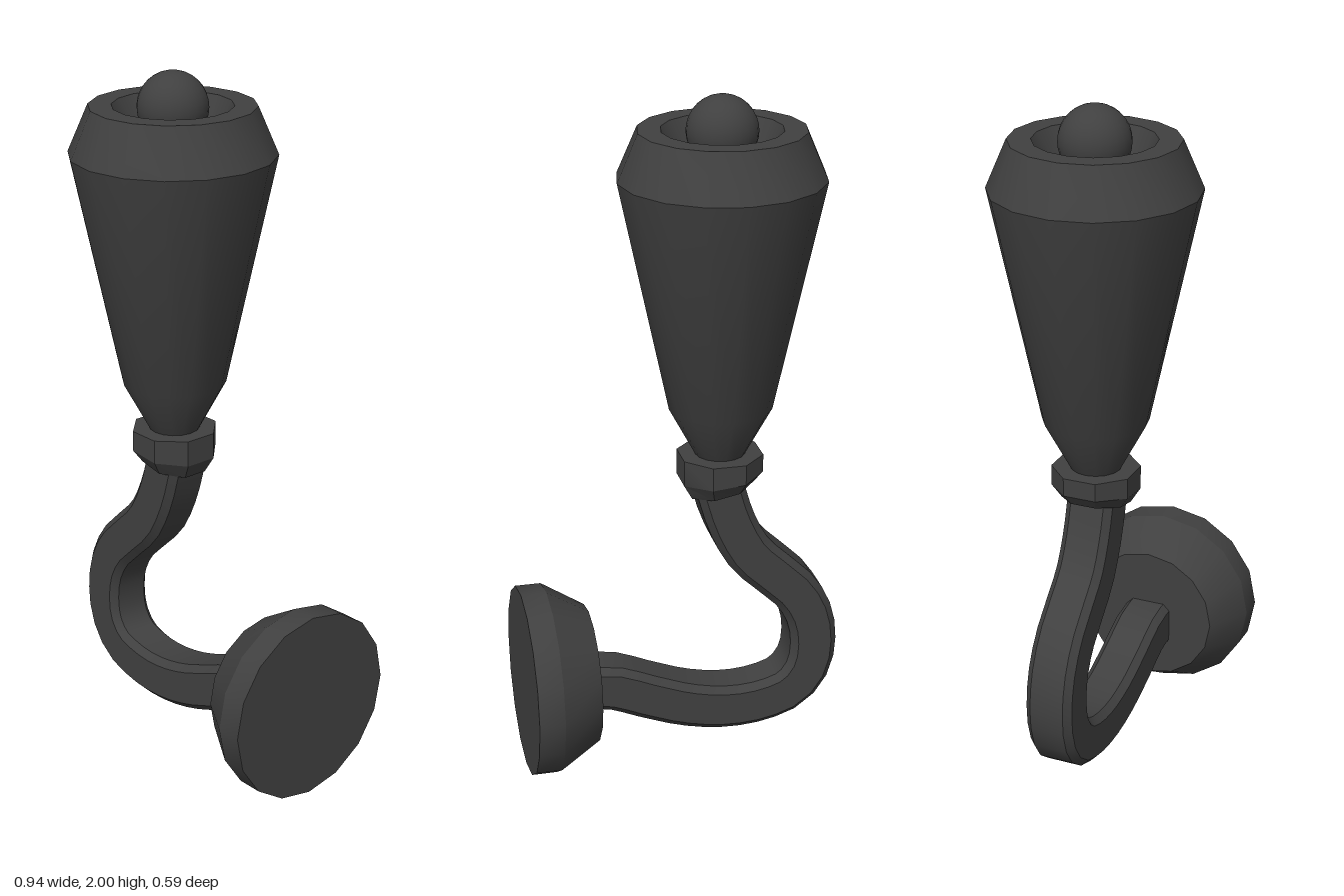
import * as THREE from 'three';
import { toCreasedNormals } from 'three/addons/utils/BufferGeometryUtils.js';

const AXIS_X = -0.12; // vertical axis of the shade

export function createModel() {
  const group = new THREE.Group();
  const dark = new THREE.MeshStandardMaterial({ color: 0x404040 });

  const add = (name, geometry, x = 0, y = 0) => {
    const mesh = new THREE.Mesh(geometry, dark);
    mesh.name = name;
    mesh.position.set(x, y, 0);
    group.add(mesh);
    return mesh;
  };
  const lathe = (profile, sides, phase = 0) =>
    new THREE.LatheGeometry(profile.map(([r, y]) => new THREE.Vector2(r, y)), sides, phase);
  const crease = (g) => toCreasedNormals(g, 0.5);

  // Tapered shade with a bevelled rim and a recessed cup
  add('shade', crease(lathe([
    [0, 0.95], [0.07, 0.95], [0.15, 1.1], [0.293, 1.77],
    [0.235, 1.905], [0.17, 1.905], [0.1, 1.77], [0, 1.77],
  ], 16)), AXIS_X);

  // Bulb sitting in the cup
  add('bulb', new THREE.SphereGeometry(0.1, 24, 16), AXIS_X, 1.9);

  // Octagonal collar whose underside leans to meet the arm
  const collar = lathe([[0, 0.84], [0.098, 0.85], [0.126, 0.89], [0.126, 0.955], [0, 0.955]], 8, Math.PI / 8);
  const p = collar.attributes.position;
  for (let i = 0; i < p.count; i++) {
    if (p.getY(i) > 0.94) continue;
    const lean = p.getY(i) < 0.87 ? 0.2 : 0.1;
    p.setY(i, p.getY(i) - lean * p.getX(i));
  }
  add('collar', crease(collar), AXIS_X);

  // Curved arm: a chamfered square swept along an S-shaped path
  const path = new THREE.CatmullRomCurve3([
    [-0.105, 0.88], [-0.145, 0.75], [-0.2, 0.645], [-0.275, 0.57], [-0.345, 0.5], [-0.387, 0.42],
    [-0.4, 0.33], [-0.385, 0.245], [-0.335, 0.18], [-0.25, 0.148], [-0.14, 0.14],
    [-0.02, 0.16], [0.1, 0.203], [0.215, 0.248], [0.3, 0.253],
  ].map(([x, y]) => new THREE.Vector3(x, y, 0)));
  const h = 0.07, c = 0.05;
  const section = new THREE.Shape([
    [h, -c], [h, c], [c, h], [-c, h], [-h, c], [-h, -c], [-c, -h], [c, -h],
  ].map(([x, y]) => new THREE.Vector2(x, y)));
  add('arm', crease(new THREE.ExtrudeGeometry(section, { steps: 30, extrudePath: path, bevelEnabled: false })));

  // Wall plate: a bevelled disc facing +x
  const plate = lathe([[0, 0.272], [0.205, 0.272], [0.28, 0.395], [0.28, 0.47], [0, 0.47]], 16);
  plate.rotateZ(-Math.PI / 2);
  add('wallPlate', crease(plate), 0, 0.28);

  return group;
}
